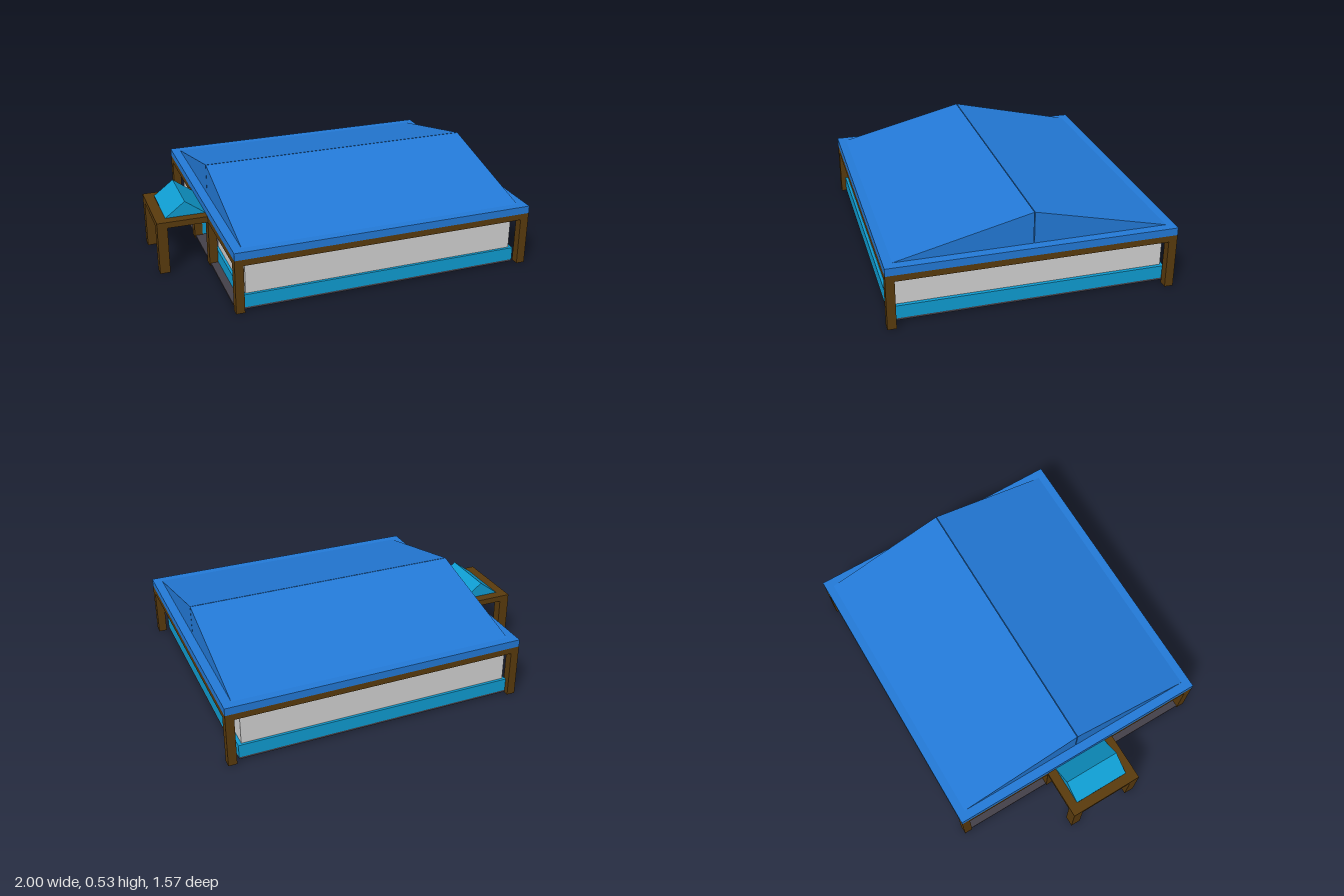
import * as THREE from 'three';

const mat = (name, color) => {
  const m = new THREE.MeshStandardMaterial({ color });
  m.name = name;
  return m;
};

export function createModel() {
  const model = new THREE.Group();
  model.name = 'pavilion';
  const blue = mat('roof blue', 0x237ad8);
  const teal = mat('teal', 0x0f9dd2);
  const grey = mat('panel grey', 0xd2d2d2);
  const wood = mat('brown timber', 0x5a3b0d);
  const dark = mat('floor charcoal', 0x444049);

  // box given by its limits on each axis
  const box = (name, material, x0, x1, y0, y1, z0, z1) => {
    const mesh = new THREE.Mesh(new THREE.BoxGeometry(x1 - x0, y1 - y0, z1 - z0), material);
    mesh.position.set((x0 + x1) / 2, (y0 + y1) / 2, (z0 + z1) / 2);
    mesh.name = name;
    model.add(mesh);
  };

  // prism with a drawn cross-section, centred along its depth
  const prism = (name, material, points, depth) => {
    const shape = new THREE.Shape(points.map(([a, b]) => new THREE.Vector2(a, b)));
    const geo = new THREE.ExtrudeGeometry(shape, { depth, bevelEnabled: false });
    geo.translate(0, 0, -depth / 2);
    const mesh = new THREE.Mesh(geo, material);
    mesh.name = name;
    model.add(mesh);
    return mesh;
  };

  const L = -0.714, R = 0.997, Z = 0.783, T = 0.048;

  // floor
  box('floor', dark, L + 0.006, 0.93, 0.005, 0.016, -0.755, 0.755);

  // walls: a grey upper panel above a thicker teal base band
  const walls = (name, material, x0, x1, z, t, y0, y1) => {
    for (const s of [-1, 1]) {
      const c = s * (z - t / 2);
      box(name + 'Long', material, x0, x1, y0, y1, c - t / 2, c + t / 2);
      // entrance wall, split by the doorway
      const c2 = s * (z - t + 0.165) / 2, h = (z - t - 0.165) / 2;
      box(name + 'Entrance', material, x0, x0 + t, y0, y1, c2 - h, c2 + h);
    }
    box(name + 'End', material, x1 - t, x1, y0, y1, -z + t, z - t);
  };
  walls('wallPanel', grey, -0.65, 0.91, 0.74, 0.02, 0.016, 0.309);
  walls('baseBand', teal, -0.665, 0.93, 0.755, 0.05, 0.016, 0.09);

  // corner posts and the beams joining them
  for (const s of [-1, 1]) {
    const z0 = Math.min(s * Z, s * (Z - T)), z1 = z0 + T;
    box('cornerPost', wood, L, L + T, 0, 0.275, z0, z1);
    box('cornerPost', wood, R - T, R, 0, 0.275, z0, z1);
    box('longBeam', wood, L, R, 0.275, 0.31, z0, z1);
  }
  box('endBeam', wood, L, L + T, 0.275, 0.31, -Z + T, Z - T);
  box('endBeam', wood, R - T, R, 0.275, 0.31, -Z + T, Z - T);

  // main roof: slab and two halves with a fine seam at the ridge
  box('roofSlab', blue, L, R, 0.31, 0.353, -Z, Z);
  for (const s of [-1, 1]) {
    const half = [[s * 0.002, 0.353], [s * 0.735, 0.353], [s * 0.002, 0.53]];
    const roof = prism('roofHalf', blue, half, 1.608);
    roof.rotation.y = Math.PI / 2;
    roof.position.x = 0.142;
  }

  // porch posts, beams and small gabled roof
  for (const s of [-1, 1]) {
    const c = s * 0.189, h = 0.029;
    box('porchPost', wood, -1, -0.942, 0, 0.275, c - h, c + h);
    box('porchPost', wood, L, L + T, 0, 0.275, c - h, c + h);
    box('porchSideBeam', wood, -1, L, 0.275, 0.31, c - h, c + h);
  }
  box('porchFrontBeam', wood, -1, -0.942, 0.275, 0.31, -0.16, 0.16);
  prism('porchRoof', teal, [[-0.942, 0.312], [-0.714, 0.312], [-0.828, 0.398]], 0.33);

  return model;
}
